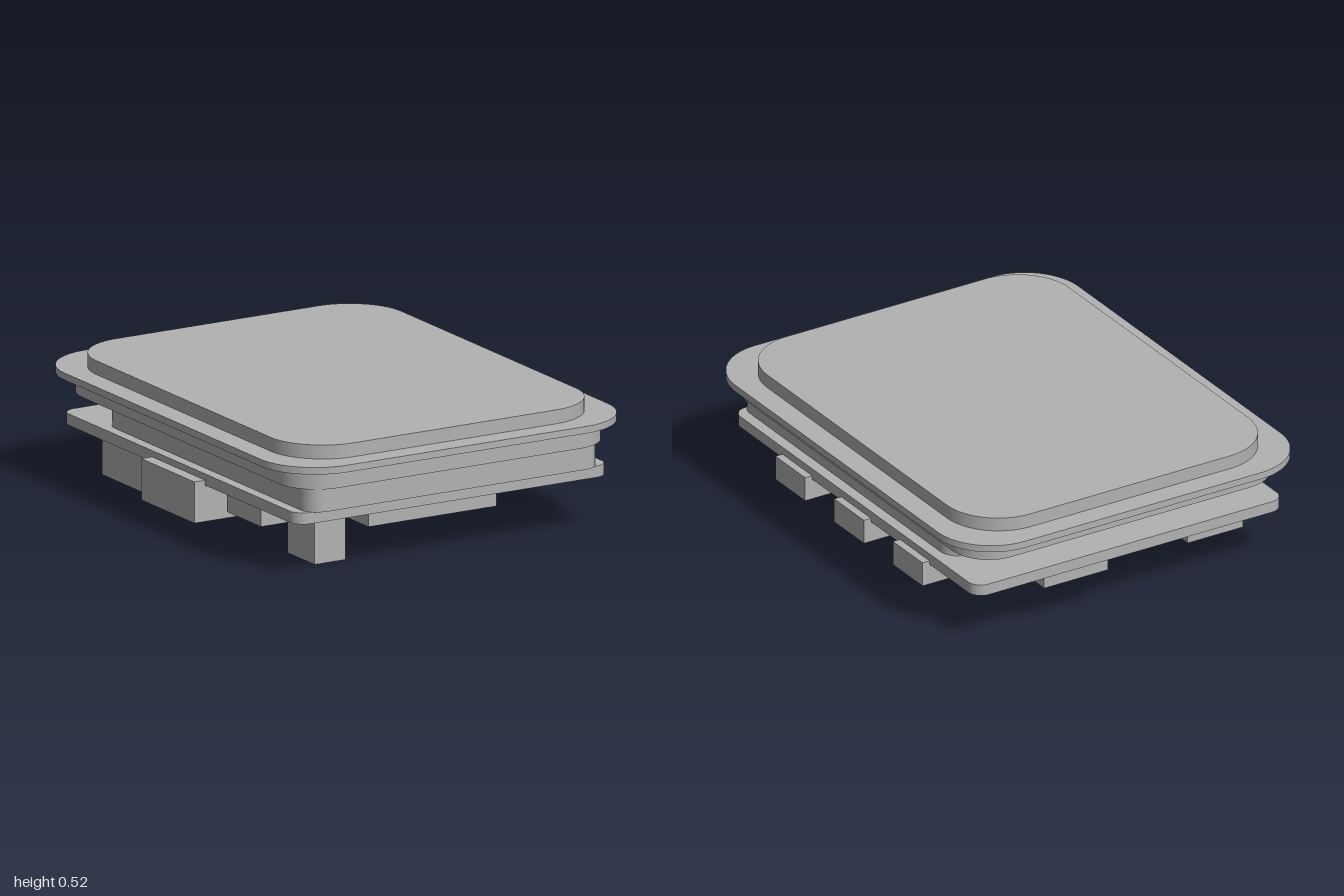
import * as THREE from 'three';
import { toCreasedNormals } from 'three/addons/utils/BufferGeometryUtils.js';

const grey = new THREE.MeshStandardMaterial({ color: 0xb2b2b2 });
grey.name = 'plain grey';

// Horizontal plate with rounded corners, given by its extents
function plate(name, x0, x1, y0, y1, z0, z1, r) {
  const s = new THREE.Shape();
  const b0 = -z1, b1 = -z0; // shape y becomes -z once laid flat
  s.moveTo(x0 + r, b0);
  s.lineTo(x1 - r, b0);
  s.absarc(x1 - r, b0 + r, r, -Math.PI / 2, 0);
  s.lineTo(x1, b1 - r);
  s.absarc(x1 - r, b1 - r, r, 0, Math.PI / 2);
  s.lineTo(x0 + r, b1);
  s.absarc(x0 + r, b1 - r, r, Math.PI / 2, Math.PI);
  s.lineTo(x0, b0 + r);
  s.absarc(x0 + r, b0 + r, r, Math.PI, Math.PI * 1.5);
  let g = new THREE.ExtrudeGeometry(s, { depth: y1 - y0, bevelEnabled: false, curveSegments: 16 });
  g.rotateX(-Math.PI / 2);
  g.translate(0, y0, 0);
  g = toCreasedNormals(g, 0.5);
  const m = new THREE.Mesh(g, grey);
  m.name = name;
  return m;
}

// Rectangular component, given by its extents
function block(name, x0, x1, y0, y1, z0, z1) {
  const m = new THREE.Mesh(new THREE.BoxGeometry(x1 - x0, y1 - y0, z1 - z0), grey);
  m.position.set((x0 + x1) / 2, (y0 + y1) / 2, (z0 + z1) / 2);
  m.name = name;
  return m;
}

export function createModel() {
  const model = new THREE.Group();
  model.name = 'displayModule';

  // Stacked layers, top to bottom
  model.add(
    plate('screenPlate', -0.707, 0.707, 0.468, 0.525, -0.905, 0.905, 0.24),
    plate('flange', -0.803, 0.803, 0.439, 0.468, -1, 1, 0.25),
    plate('upperBody', -0.73, 0.73, 0.361, 0.439, -0.91, 0.94, 0.17),
    plate('spacer', -0.68, 0.675, 0.266, 0.361, -0.646, 0.925, 0.08),
    plate('circuitBoard', -0.725, 0.722, 0.219, 0.266, -0.905, 0.9, 0.06),
  );

  // Components under the board
  const top = 0.222;
  model.add(
    block('wideConnector', -0.298, 0.296, 0.115, top, 0.44, 0.737),
    block('powerChip', 0.25, 0.543, 0.12, top, -0.045, 0.3),
    block('mainChip', 0.07, 0.44, 0.173, top, -0.52, -0.22),
    block('rearChip', 0.1, 0.4, 0.172, top, -0.9, -0.805),
    block('smallChip', -0.45, -0.29, 0.177, top, -0.785, -0.635),
    block('tallPost', -0.555, -0.412, 0, top, 0.545, 0.75),
    block('sideConnector', -0.67, -0.402, 0.12, top, 0.27, 0.53),
    block('largePort', -0.775, -0.43, 0.07, 0.24, -0.21, 0.195),
    block('rearPort', -0.675, -0.415, 0.05, top, -0.675, -0.303),
  );

  // Three push buttons along the left edge
  for (const z of [0.42, -0.015, -0.45]) {
    model.add(block('sideButton', 0.577, 0.755, 0.132, 0.235, z - 0.11, z + 0.11));
  }
  return model;
}
